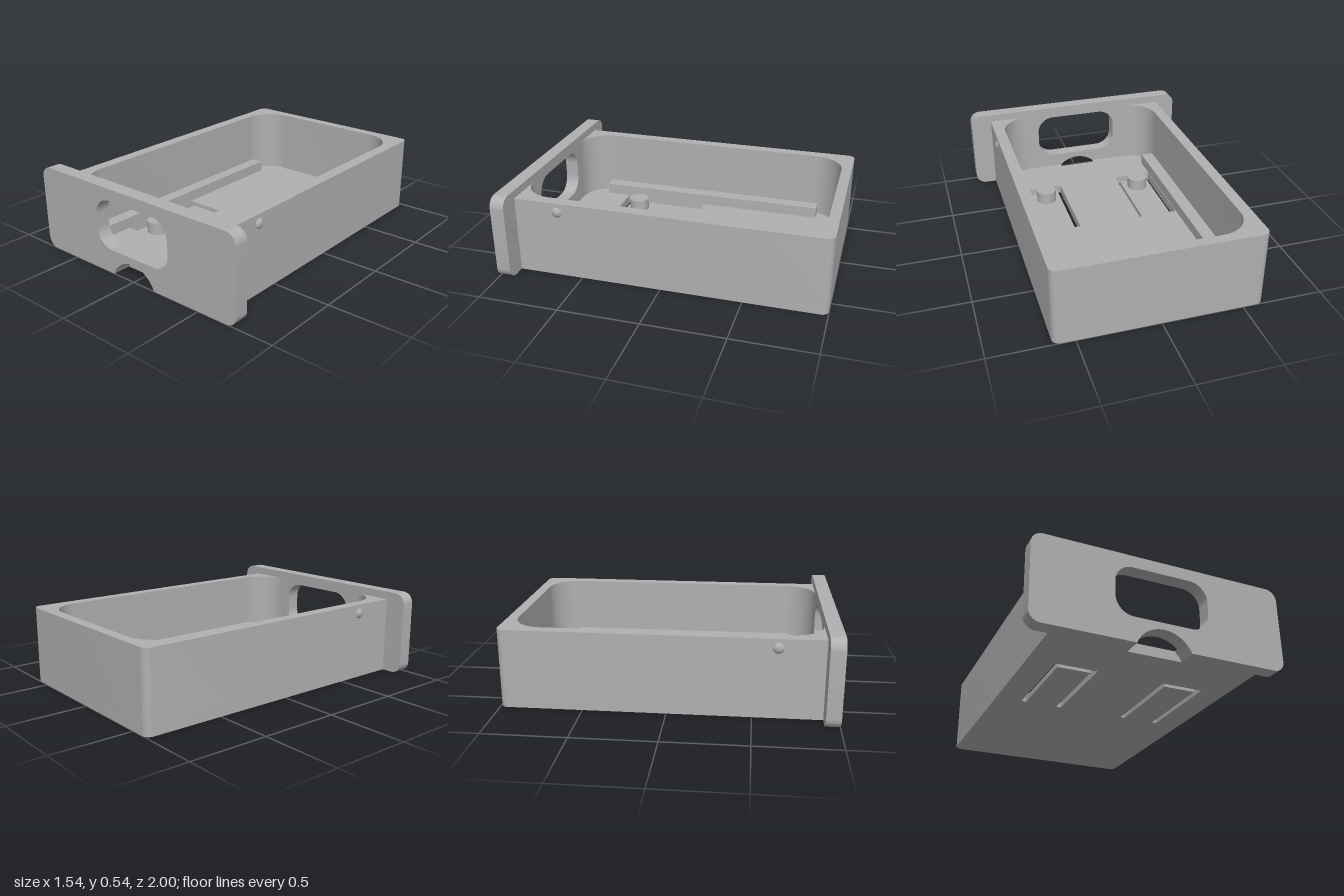
import * as THREE from 'three';
import { toCreasedNormals } from 'three/addons/utils/BufferGeometryUtils.js';

const HALF_W = 0.63, BACK = -1, PLATE_Z = 0.912, NOTCH_Z = 0.885;
const FLOOR = 0.06, RIM = 0.485;
const ARCH = { y: -0.069, r: 0.179 };   // circle of the finger notch

// Adds a rounded rectangle (counter-clockwise) to a path.
function roundRect(path, x0, y0, x1, y1, r) {
  const q = Math.PI / 2;
  path.moveTo(x0 + r, y0);
  path.lineTo(x1 - r, y0).absarc(x1 - r, y0 + r, r, -q, 0, false);
  path.lineTo(x1, y1 - r).absarc(x1 - r, y1 - r, r, 0, q, false);
  path.lineTo(x0 + r, y1).absarc(x0 + r, y1 - r, r, q, 2 * q, false);
  path.lineTo(x0, y0 + r).absarc(x0 + r, y0 + r, r, 2 * q, 3 * q, false);
  return path;
}

const extrude = (shape, depth) => toCreasedNormals(
  new THREE.ExtrudeGeometry(shape, { depth, bevelEnabled: false, curveSegments: 16 }), 0.5);

// Plan shapes are drawn with y = -z and raised upwards.
const raise = (shape, y0, y1) => extrude(shape, y1 - y0).rotateX(-Math.PI / 2).translate(0, y0, 0);

// Outer plan outline from the right front corner round the back to the left one.
function outerPlan(frontZ) {
  const s = new THREE.Shape(), r = 0.045, q = Math.PI / 2;
  s.moveTo(HALF_W, -frontZ);
  s.lineTo(HALF_W, -BACK - r).absarc(HALF_W - r, -BACK - r, r, 0, q, false);
  s.lineTo(-HALF_W + r, -BACK).absarc(-HALF_W + r, -BACK - r, r, q, 2 * q, false);
  s.lineTo(-HALF_W, -frontZ);
  return s;
}

export function createModel() {
  const group = new THREE.Group();
  const grey = new THREE.MeshStandardMaterial({ color: 0xb0b0b0 });
  grey.name = 'grey';
  const add = (name, geometry) => {
    const mesh = new THREE.Mesh(geometry, grey);
    mesh.name = name;
    group.add(mesh);
    return mesh;
  };
  const box = (name, x0, x1, y0, y1, z0, z1) =>
    add(name, new THREE.BoxGeometry(x1 - x0, y1 - y0, z1 - z0)
      .translate((x0 + x1) / 2, (y0 + y1) / 2, (z0 + z1) / 2));

  // Walls: the rounded cavity opens straight onto the front plate
  const walls = outerPlan(PLATE_Z);
  const r = 0.19, ix = 0.557, iz = -0.935, q = Math.PI / 2;
  walls.lineTo(-ix + r, -PLATE_Z).absarc(-ix + r, -PLATE_Z + r, r, -q, -2 * q, true);
  walls.lineTo(-ix, -iz - r).absarc(-ix + r, -iz - r, r, 2 * q, q, true);
  walls.lineTo(ix - r, -iz).absarc(ix - r, -iz - r, r, q, 0, true);
  walls.lineTo(ix, -PLATE_Z + r).absarc(ix - r, -PLATE_Z + r, r, 0, -q, true);
  walls.closePath();
  add('walls', raise(walls, FLOOR, RIM));

  // Floor with a slot around each spring tongue
  const floor = outerPlan(NOTCH_Z);
  floor.closePath();
  for (const cx of [-0.34, 0.336]) {
    const slot = new THREE.Path();
    slot.moveTo(cx - 0.13, -0.02).lineTo(cx + 0.13, -0.02);
    slot.lineTo(cx + 0.13, -0.595).lineTo(cx - 0.13, -0.595).closePath();
    floor.holes.push(slot);
  }
  add('floor', raise(floor, 0, FLOOR));

  // Front strip of the floor, either side of the finger notch
  const halfStrip = new THREE.Shape();
  halfStrip.moveTo(0.165, 0).lineTo(HALF_W, 0).lineTo(HALF_W, FLOOR);
  halfStrip.lineTo(0.124, FLOOR);
  halfStrip.absarc(0, ARCH.y, ARCH.r, 0.805, 0.396, true);
  const depth = PLATE_Z - NOTCH_Z;
  for (const turn of [0, Math.PI]) {
    add('floorFrontStrip', extrude(halfStrip, depth).translate(0, 0, -depth / 2)
      .rotateY(turn).translate(0, 0, NOTCH_Z + depth / 2));
  }

  // Front plate with handle window and arched notch
  const plate = new THREE.Shape(), px = 0.768, ph = 0.535, pr = 0.068;
  plate.moveTo(-px + pr, 0);
  plate.absarc(0, ARCH.y, ARCH.r, Math.PI - 0.396, 0.396, true);
  plate.lineTo(px - pr, 0).absarc(px - pr, pr, pr, -q, 0, false);
  plate.lineTo(px, ph - pr).absarc(px - pr, ph - pr, pr, 0, q, false);
  plate.lineTo(-px + pr, ph).absarc(-px + pr, ph - pr, pr, q, 2 * q, false);
  plate.lineTo(-px, pr).absarc(-px + pr, pr, pr, 2 * q, 3 * q, false);
  plate.holes.push(roundRect(new THREE.Path(), -0.286, 0.152, 0.286, 0.46, 0.11));
  add('frontPlate', extrude(plate, 1 - PLATE_Z).translate(0, 0, PLATE_Z));

  // Spring tongues with round pegs
  for (const cx of [-0.34, 0.336]) {
    box('springTongue', cx - 0.1, cx + 0.1, 0, 0.035, 0.02, 0.56);
    add('peg', new THREE.CylinderGeometry(0.067, 0.067, 0.08, 40).translate(cx, 0.073, 0.47));
  }

  // Inner rails and outer stop bumps
  for (const s of [-1, 1]) {
    const rail = [s * 0.473, s * 0.56].sort((a, b) => a - b);
    box('rail', rail[0], rail[1], FLOOR, 0.132, -0.78, 0.757);
    add('stopBump', new THREE.SphereGeometry(0.041, 24, 16).translate(s * 0.605, 0.428, 0.64));
  }
  return group;
}
